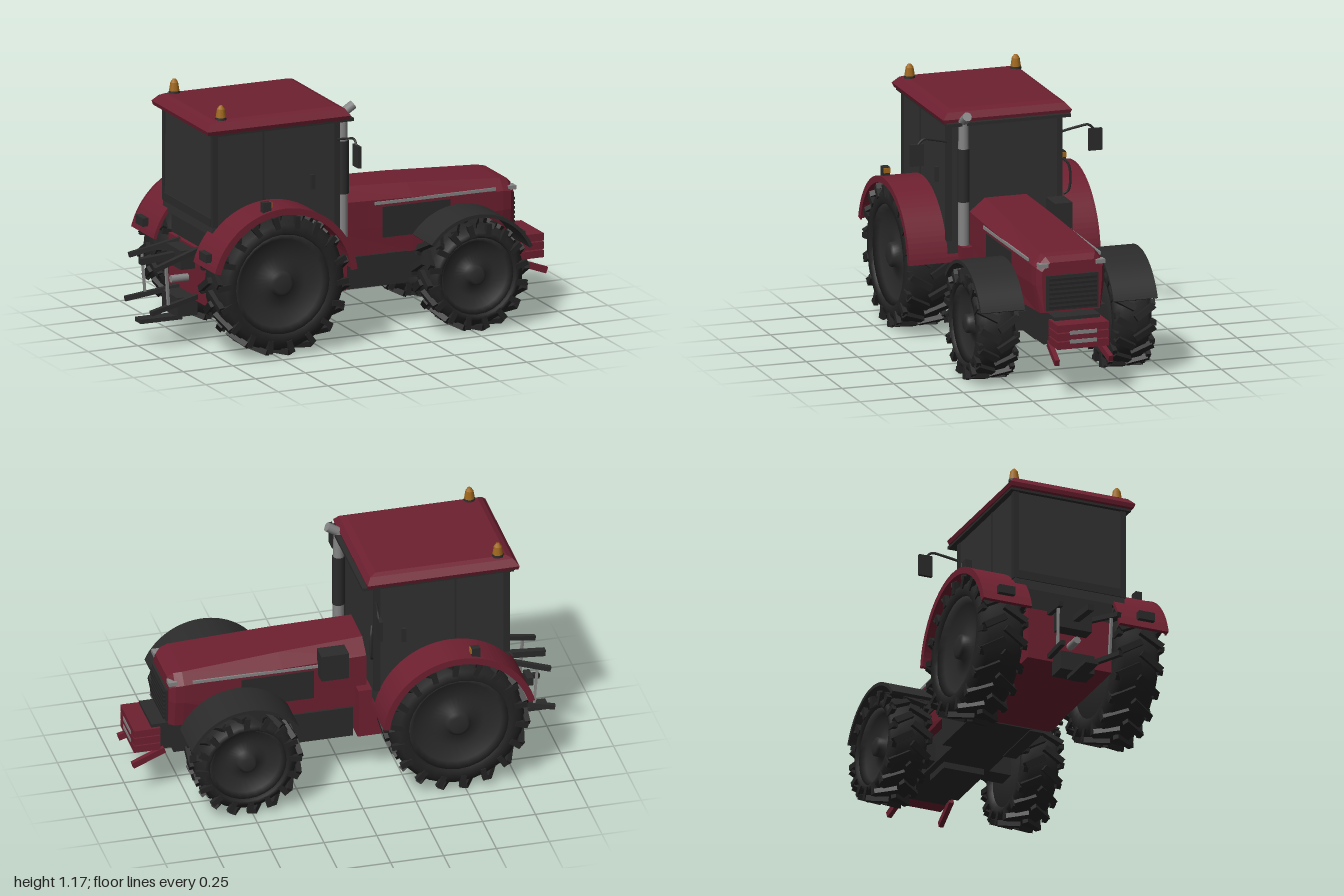
import * as THREE from 'three';

const paint = (name, color, extra = {}) => Object.assign(new THREE.MeshStandardMaterial({ color, ...extra }), { name });

export function createModel() {
  const model = new THREE.Group();
  model.name = 'tractor';
  const red = paint('red paint', 0x6e2030, { side: THREE.DoubleSide });
  const rubber = paint('tyre rubber', 0x242424);
  const dark = paint('dark metal', 0x2b2b2b);
  const glass = paint('tinted glass', 0x313131);
  const grey = paint('bare metal', 0x858585);
  const amber = paint('amber lamp', 0xa0681c);

  const add = (name, geo, mat, x = 0, y = 0, z = 0, parent = model) => {
    const m = new THREE.Mesh(geo, mat);
    m.name = name;
    m.position.set(x, y, z);
    parent.add(m);
    return m;
  };
  // Box given by its limits on each axis
  const box = (name, mat, x0, x1, y0, y1, z0, z1, parent) =>
    add(name, new THREE.BoxGeometry(x1 - x0, y1 - y0, Math.abs(z1 - z0)), mat,
      (x0 + x1) / 2, (y0 + y1) / 2, (z0 + z1) / 2, parent);
  // Square bar between two points
  const bar = (name, mat, a, b, w, h = w) => {
    const p = new THREE.Vector3(...a), q = new THREE.Vector3(...b);
    const m = add(name, new THREE.BoxGeometry(w, h, p.distanceTo(q)), mat);
    m.position.copy(p).lerp(q, 0.5);
    m.lookAt(q);
    return m;
  };
  const pipe = (name, mat, r, pts) => add(name,
    new THREE.TubeGeometry(new THREE.CatmullRomCurve3(pts.map(p => new THREE.Vector3(...p))), 16, r, 6), mat);
  // Faceted skin over equal loops, closed at both ends
  const loft = loops => {
    const out = [], n = loops[0].length, tri = (a, b, c) => out.push(...a, ...b, ...c);
    for (let i = 0; i + 1 < loops.length; i++) for (let j = 0; j < n; j++) {
      const k = (j + 1) % n, A = loops[i], B = loops[i + 1];
      tri(A[j], A[k], B[k]);
      tri(A[j], B[k], B[j]);
    }
    const last = loops[loops.length - 1];
    for (let j = 1; j + 1 < n; j++) {
      tri(loops[0][0], loops[0][j + 1], loops[0][j]);
      tri(last[0], last[j], last[j + 1]);
    }
    const g = new THREE.BufferGeometry();
    g.setAttribute('position', new THREE.Float32BufferAttribute(out, 3));
    g.computeVertexNormals();
    return g;
  };
  const arch = (cx, cy, r0, r1, a0, a1, depth) => {
    const s = new THREE.Shape();
    s.absarc(cx, cy, r1, a0, a1, false);
    s.absarc(cx, cy, r0, a1, a0, true);
    return new THREE.ExtrudeGeometry(s, { depth, bevelEnabled: false, curveSegments: 20 });
  };

  // Wheels: dished lathe body, hub and chevron lugs
  const wheel = (name, x, y, R, z0, z1, n, s) => {
    const g = new THREE.Group(), w = z1 - z0, h = w / 2, r = R - 0.02, rim = R * 0.72;
    g.name = name;
    g.position.set(x, y, s * (z0 + z1) / 2);
    model.add(g);
    const lathe = (part, mat, pts) => {
      const geo = new THREE.LatheGeometry(pts.map(p => new THREE.Vector2(...p)), 28);
      geo.rotateX(Math.PI / 2);
      add(part, geo, mat, 0, 0, 0, g).rotation.y = s > 0 ? 0 : Math.PI;
    };
    lathe('tyre', rubber, [[rim * 0.9, -h + 0.02], [rim, -h], [r - 0.03, -h + 0.005], [r, -h + 0.035],
      [r, h - 0.035], [r - 0.03, h - 0.005], [rim, h], [rim * 0.97, h - 0.02]]);
    lathe('rim', dark, [[0, -h + 0.03], [rim * 0.92, -h + 0.02], [rim * 0.98, 0], [rim * 0.98, h - 0.015],
      [rim * 0.86, h - 0.04], [rim * 0.55, h - 0.06], [R * 0.18, h - 0.055], [R * 0.17, h - 0.02], [R * 0.12, h - 0.01], [0, h - 0.01]]);
    for (let i = 0; i < n; i++) for (const side of [1, -1]) {
      const arm = new THREE.Group();
      arm.name = 'lug';
      arm.rotation.z = (i + (side > 0 ? 0 : 0.5)) * Math.PI * 2 / n;
      g.add(arm);
      const tread = add('tread bar', new THREE.BoxGeometry(0.03, 0.026, w * 0.56), rubber, 0, R - 0.014, side * w * 0.24, arm);
      tread.rotation.y = side * -0.55;
      const edge = add('shoulder bar', new THREE.BoxGeometry(0.026, 0.06, 0.022), rubber, -side * side * 0.035, R - 0.04, side * (h - 0.008), arm);
      edge.rotation.z = 0.3;
    }
  };

  // Hood: tapering faceted sections
  const hoodLoop = (x, bottom, low, wide, shoulder, top, crown) => {
    const half = [[low, bottom], [wide, bottom + 0.13], [wide, shoulder], [crown, top]];
    return [...half.map(([z, y]) => [x, y, -z]), ...half.reverse().map(([z, y]) => [x, y, z])];
  };
  add('hood', loft([
    hoodLoop(-0.1, 0.35, 0.175, 0.175, 0.615, 0.675, 0.1),
    hoodLoop(0.3, 0.35, 0.175, 0.178, 0.605, 0.66, 0.115),
    hoodLoop(0.76, 0.36, 0.15, 0.172, 0.58, 0.632, 0.13),
    hoodLoop(0.8, 0.36, 0.145, 0.165, 0.575, 0.625, 0.12),
    hoodLoop(0.825, 0.365, 0.135, 0.145, 0.56, 0.6, 0.105)]), red);
  box('grille', dark, 0.82, 0.835, 0.375, 0.54, -0.125, 0.125);
  for (let i = 0; i < 7; i++) box('grille slat', rubber, 0.83, 0.845, 0.385 + i * 0.022, 0.396 + i * 0.022, -0.115, 0.115);

  // Chassis and rear body
  box('chassis', dark, -0.04, 0.8, 0.21, 0.37, -0.13, 0.13);
  box('rear body', red, -0.75, -0.05, 0.21, 0.46, -0.21, 0.21);
  box('rear arch filler', dark, -0.73, -0.12, 0.45, 0.72, -0.22, 0.22);
  box('front axle', dark, 0.47, 0.57, 0.22, 0.31, -0.25, 0.25);
  box('rear axle', dark, -0.53, -0.41, 0.28, 0.4, -0.25, 0.25);
  box('front axle mount', dark, 0.44, 0.6, 0.18, 0.24, -0.1, 0.1);

  // Cab: side profile with wheel arches cut out of its lower edge
  const prof = new THREE.Shape();
  prof.moveTo(-0.115, 0.4);
  prof.lineTo(-0.115, 1.045);
  prof.lineTo(-0.745, 1.045);
  prof.lineTo(-0.75, 0.557);
  prof.absarc(-0.47, 0.34, 0.354, 2.48, 0.17, true);
  const cabGeo = new THREE.ExtrudeGeometry(prof, { depth: 0.55, bevelEnabled: false, curveSegments: 20 });
  add('cab', cabGeo, glass, 0, 0, -0.275);
  for (const s of [1, -1]) {
    for (const [x, y] of [[-0.128, 0.48], [-0.74, 0.6]])
      box('cab pillar', dark, x - 0.012, x + 0.016, y, 1.045, s * 0.255, s * 0.28);
    box('door divider', dark, -0.5, -0.49, 0.705, 1.04, s * 0.272, s * 0.279);
    box('door handle', dark, -0.26, -0.24, 0.73, 0.8, s * 0.275, s * 0.29);
  }
  box('roof trim', dark, -0.765, -0.05, 1.035, 1.05, -0.3, 0.3);
  box('rear window frame', dark, -0.755, -0.745, 0.6, 0.64, -0.26, 0.26);
  const roofLoop = (y, x0, x1, z) => [[x0, y, -z], [x0, y, z], [x1, y, z], [x1, y, -z]];
  add('roof', loft([roofLoop(1.046, -0.785, -0.075, 0.305), roofLoop(1.065, -0.79, -0.07, 0.312),
    roofLoop(1.095, -0.765, -0.09, 0.285), roofLoop(1.106, -0.74, -0.12, 0.265)]), red);

  // Exhaust stack on the left
  add('exhaust base', new THREE.CylinderGeometry(0.026, 0.026, 0.22, 10), grey, -0.07, 0.58, 0.215);
  add('exhaust muffler', new THREE.CylinderGeometry(0.03, 0.03, 0.25, 10), dark, -0.07, 0.8, 0.215);
  add('exhaust pipe', new THREE.CylinderGeometry(0.023, 0.025, 0.14, 10), grey, -0.07, 0.99, 0.215);
  add('exhaust tip', new THREE.CylinderGeometry(0.022, 0.022, 0.07, 10), grey, -0.045, 1.07, 0.215).rotation.z = -1;
  // Air filter and grab rail on the right
  box('air filter', dark, 0, 0.13, 0.55, 0.68, -0.245, -0.16);
  pipe('grab rail', dark, 0.006, [[-0.1, 0.83, -0.275], [-0.09, 0.8, -0.302], [-0.09, 0.68, -0.302], [-0.1, 0.66, -0.28]]);

  for (const s of [1, -1]) {
    wheel('rearWheel', -0.47, 0.34, 0.335, 0.23, 0.45, 18, s);
    wheel('frontWheel', 0.52, 0.262, 0.258, 0.235, 0.425, 16, s);
    // Fenders
    const zr = s > 0 ? 0.22 : -0.462, zf = s > 0 ? 0.215 : -0.428;
    add('rearFender', arch(-0.47, 0.34, 0.348, 0.364, 0.11, 2.88, 0.242), red, 0, 0, zr);
    add('rearFenderLip', arch(-0.47, 0.34, 0.335, 0.366, 0.11, 2.88, 0.008), red, 0, 0, s > 0 ? 0.455 : -0.463);
    add('frontFender', arch(0.52, 0.262, 0.28, 0.296, 0.41, 2.5, 0.213), dark, 0, 0, zf);
    bar('frontFenderBracket', dark, [0.52, 0.55, s * 0.23], [0.52, 0.3, s * 0.19], 0.03);
    box('fenderSupport', red, -0.12, -0.05, 0.22, 0.46, s * 0.2, s * 0.225);
    box('sideTank', dark, -0.035, 0.27, 0.205, 0.355, s * 0.12, s * 0.185);
    // Hood side details
    box('hoodVent', dark, 0.15, 0.49, 0.43, 0.575, s * 0.17, s * 0.182);
    const stripe = box('hoodStripe', grey, 0.11, 0.72, 0.588, 0.602, s * 0.173, s * 0.181);
    stripe.rotation.y = s * 0.008;
    box('headlight', grey, 0.79, 0.83, 0.578, 0.597, s * 0.115, s * 0.16);
    // Lamps
    box('fenderLampHousing', dark, -0.57, -0.53, 0.69, 0.738, s * 0.41, s * 0.442);
    box('fenderLamp', amber, -0.53, -0.524, 0.712, 0.735, s * 0.41, s * 0.442);
    box('tailLamp', dark, -0.835, -0.805, 0.47, 0.51, s * 0.31, s * 0.39);
    add('beaconBase', new THREE.CylinderGeometry(0.026, 0.028, 0.012, 8), dark, -0.7, 1.11, s * 0.257);
    add('beacon', new THREE.CylinderGeometry(0.019, 0.026, 0.042, 8), amber, -0.7, 1.134, s * 0.257);
    add('beaconCap', new THREE.CylinderGeometry(0.008, 0.019, 0.016, 8), amber, -0.7, 1.162, s * 0.257);
    // Mirrors
    pipe('mirrorArm', dark, 0.006, [[-0.12, 0.95, s * 0.275], [-0.105, 0.97, s * 0.35], [-0.095, 0.978, s * 0.4], [-0.095, 0.95, s * 0.43]]);
    box('mirror', dark, -0.104, -0.088, 0.855, 0.958, s * 0.4, s * 0.465);
    // Rear linkage
    bar('upperLiftArm', dark, [-0.74, 0.455, s * 0.1], [-0.98, 0.395, s * 0.145], 0.022);
    bar('lowerLiftArm', dark, [-0.74, 0.235, s * 0.1], [-1.0, 0.19, s * 0.145], 0.022);
    bar('liftRod', grey, [-0.92, 0.41, s * 0.133], [-0.905, 0.205, s * 0.13], 0.012);
    // Front lower arms
    bar('frontArm', red, [0.84, 0.225, s * 0.115], [0.995, 0.17, s * 0.13], 0.022, 0.03);
  }

  // Front weights
  box('weight bracket', dark, 0.8, 0.9, 0.225, 0.36, -0.11, 0.11);
  for (let i = 0; i < 3; i++) {
    const y = 0.23 + i * 0.04;
    box('weight bar', red, 0.86, 0.985, y, y + 0.034, -0.125, 0.125);
    if (i) box('weight plate', grey, 0.9, 0.98, y - 0.012, y + 0.006, -0.064, 0.064);
  }
  for (const y of [0.255, 0.297]) box('weight plate face', grey, 0.984, 0.988, y, y + 0.018, -0.064, 0.064);

  // Rear hitch
  box('hitch block', dark, -0.84, -0.74, 0.14, 0.23, -0.085, 0.085);
  box('drawbar', dark, -1.0, -0.79, 0.112, 0.132, -0.032, 0.032);
  bar('top link', dark, [-0.74, 0.42, 0], [-0.99, 0.4, 0], 0.03);
  box('hitch tower', dark, -0.82, -0.74, 0.36, 0.45, -0.08, 0.08);
  add('power shaft', new THREE.CylinderGeometry(0.018, 0.018, 0.09, 8), grey, -0.79, 0.3, 0).rotation.z = Math.PI / 2;
  return model;
}
